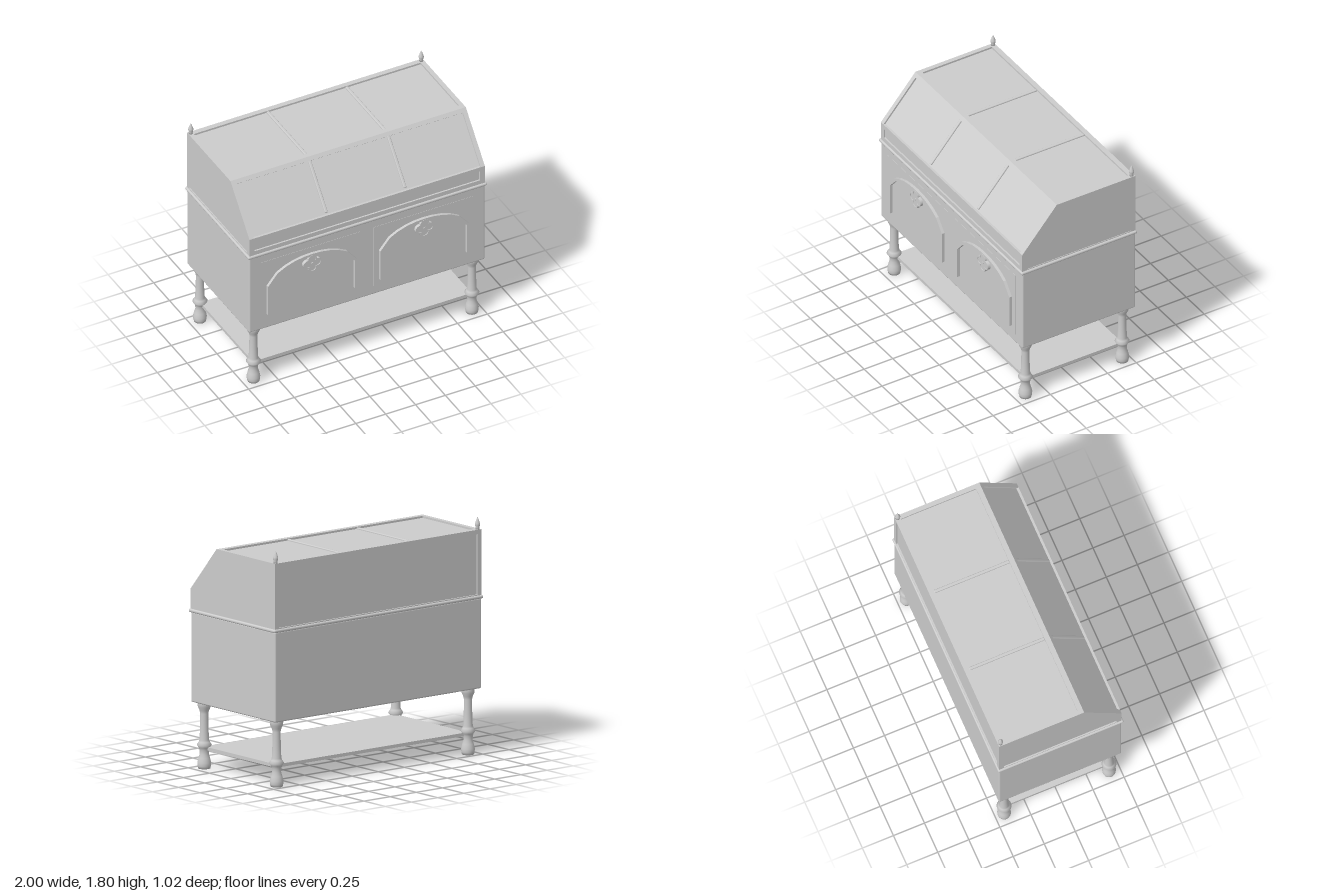
import * as THREE from 'three';
import { RoundedBoxGeometry } from 'three/addons/geometries/RoundedBoxGeometry.js';

export function createModel() {
  const model = new THREE.Group();
  const grey = new THREE.MeshStandardMaterial({ color: 0xcccccc });
  grey.name = 'plain grey';

  function add(name, geometry, x = 0, y = 0, z = 0, parent = model) {
    const mesh = new THREE.Mesh(geometry, grey);
    mesh.name = name;
    mesh.position.set(x, y, z);
    parent.add(mesh);
    return mesh;
  }
  const points = (list) => list.map(([x, y]) => new THREE.Vector2(x, y));
  const extrude = (shape, depth) =>
    new THREE.ExtrudeGeometry(shape, { depth, bevelEnabled: false, curveSegments: 12 });
  // Side profile given as [z, y], extruded along x
  function sideExtrude(profile, width, hole) {
    const flip = (list) => points(list.map(([z, y]) => [-z, y]));
    const shape = new THREE.Shape(flip(profile));
    if (hole) shape.holes.push(new THREE.Path(flip(hole)));
    return extrude(shape, width).rotateY(Math.PI / 2).translate(-width / 2, 0, 0);
  }
  const rect = (w, y0, y1) => points([[-w, y0], [w, y0], [w, y1], [-w, y1]]);
  function frame(w, y0, y1, hw, h0, h1, depth) {
    const shape = new THREE.Shape(rect(w, y0, y1));
    shape.holes.push(new THREE.Path(rect(hw, h0, h1)));
    return extrude(shape, depth);
  }

  // Cabinet body and the moulded rim above it
  add('cabinet', new RoundedBoxGeometry(1.975, 0.685, 0.988, 3, 0.012), 0, 0.8425, -0.008);
  add('rim', new RoundedBoxGeometry(2, 0.026, 1.01, 3, 0.012), 0, 1.192, -0.006);

  // Turned legs
  const legProfile = points([
    [0, 0], [0.045, 0], [0.05, 0.02], [0.051, 0.045], [0.043, 0.08], [0.034, 0.11],
    [0.036, 0.14], [0.042, 0.158], [0.056, 0.178], [0.042, 0.2], [0.036, 0.215],
    [0.032, 0.3], [0.03, 0.415], [0.036, 0.44], [0.048, 0.465], [0.05, 0.485], [0.05, 0.505],
  ]);
  const legGeometry = new THREE.LatheGeometry(legProfile, 24);
  for (const x of [-0.915, 0.915])
    for (const z of [-0.43, 0.415]) add('leg', legGeometry, x, 0, z);

  // Low shelf between the legs
  add('shelf', new THREE.BoxGeometry(1.83, 0.025, 0.835), 0, 0.152, -0.008);

  // Display case: closed panes slightly inside the frames
  add('panes', sideExtrude([
    [0.474, 1.195], [0.474, 1.352], [0.178, 1.688], [-0.488, 1.688], [-0.488, 1.195],
  ], 1.945));
  const outer = [[0.487, 1.2], [0.487, 1.358], [0.185, 1.703], [-0.5, 1.703], [-0.5, 1.2]];
  const inner = [[0.445, 1.212], [0.445, 1.335], [0.155, 1.672], [-0.462, 1.672], [-0.462, 1.212]];
  for (const s of [-1, 1])
    add('sideFrame', sideExtrude(outer, 0.035, inner), s * 0.968);
  add('frontFrame', frame(0.97, 1.2, 1.358, 0.945, 1.24, 1.322, 0.032), 0, 0, 0.455);
  add('backFrame', frame(0.97, 1.2, 1.703, 0.948, 1.212, 1.672, 0.03), 0, 0, -0.5);
  add('topFrontRail', sideExtrude(
    [[0.145, 1.67], [0.145, 1.703], [0.185, 1.703], [0.207, 1.678], [0.195, 1.667]], 1.94));
  add('topBackRail', new THREE.BoxGeometry(1.94, 0.033, 0.04), 0, 1.6865, -0.48);

  // Glazing bars on the lid and the slope
  const slope = Math.atan2(0.345, 0.302);
  for (const x of [-0.33, 0.33]) {
    add('lidBar', new RoundedBoxGeometry(0.025, 0.026, 0.61, 2, 0.008), x, 1.687, -0.157);
    const bar = add('slopeBar', new RoundedBoxGeometry(0.025, 0.022, 0.42, 2, 0.008), x, 1.524, 0.324);
    bar.rotation.x = slope;
  }

  // Corner finials
  const finialProfile = points([
    [0, 0], [0.016, 0], [0.014, 0.012], [0.019, 0.032], [0.019, 0.045], [0.009, 0.075], [0, 0.095],
  ]);
  for (const x of [-0.965, 0.965])
    add('finial', new THREE.LatheGeometry(finialProfile, 12), x, 1.702, -0.48);

  // Arched moulding outline
  const arch = (w, s, top) => [
    [-w, 0.63], [-w, s], [-w * 0.782, top - 0.078], [-w * 0.6, top - 0.042], [-w * 0.4, top - 0.017],
    [-w * 0.2, top - 0.004], [0, top], [w * 0.2, top - 0.004], [w * 0.4, top - 0.017],
    [w * 0.6, top - 0.042], [w * 0.782, top - 0.078], [w, s], [w, 0.63],
  ];
  const archShape = new THREE.Shape(points([
    ...arch(0.373, 0.892, 1.068), ...arch(0.353, 0.885, 1.05).reverse(),
  ]));

  // Four-lobed ornament outline
  function quatrefoil(Type, offset, radius) {
    const path = new Type();
    const t = (offset + Math.sqrt(2 * radius * radius - offset * offset)) / 2;
    const a = Math.atan2(t, t - offset);
    for (let i = 0; i < 4; i++) {
      const q = i * Math.PI / 2;
      path.absarc(offset * Math.cos(q), offset * Math.sin(q), radius, q - a, q + a, false);
    }
    return path;
  }
  const ringShape = quatrefoil(THREE.Shape, 0.04, 0.037);
  ringShape.holes.push(quatrefoil(THREE.Path, 0.037, 0.028));

  // Two doors with arch and ornament
  for (const x of [-0.47, 0.47]) {
    const door = new THREE.Group();
    door.name = 'door';
    door.position.set(x, 0, 0.485);
    model.add(door);
    add('doorPanel', new THREE.BoxGeometry(0.838, 0.54, 0.006), 0, 0.845, 0, door);
    add('archMoulding', extrude(archShape, 0.026), 0, 0, 0, door);
    add('ornamentRim', extrude(ringShape, 0.028), 0, 0.98, 0, door);
    add('ornamentPlate', extrude(quatrefoil(THREE.Shape, 0.039, 0.033), 0.023), 0, 0.98, 0, door);
    const knob = add('knob', new THREE.CylinderGeometry(0.01, 0.012, 0.028, 12), 0, 0.98, 0.014, door);
    knob.rotation.x = Math.PI / 2;
  }
  return model;
}
